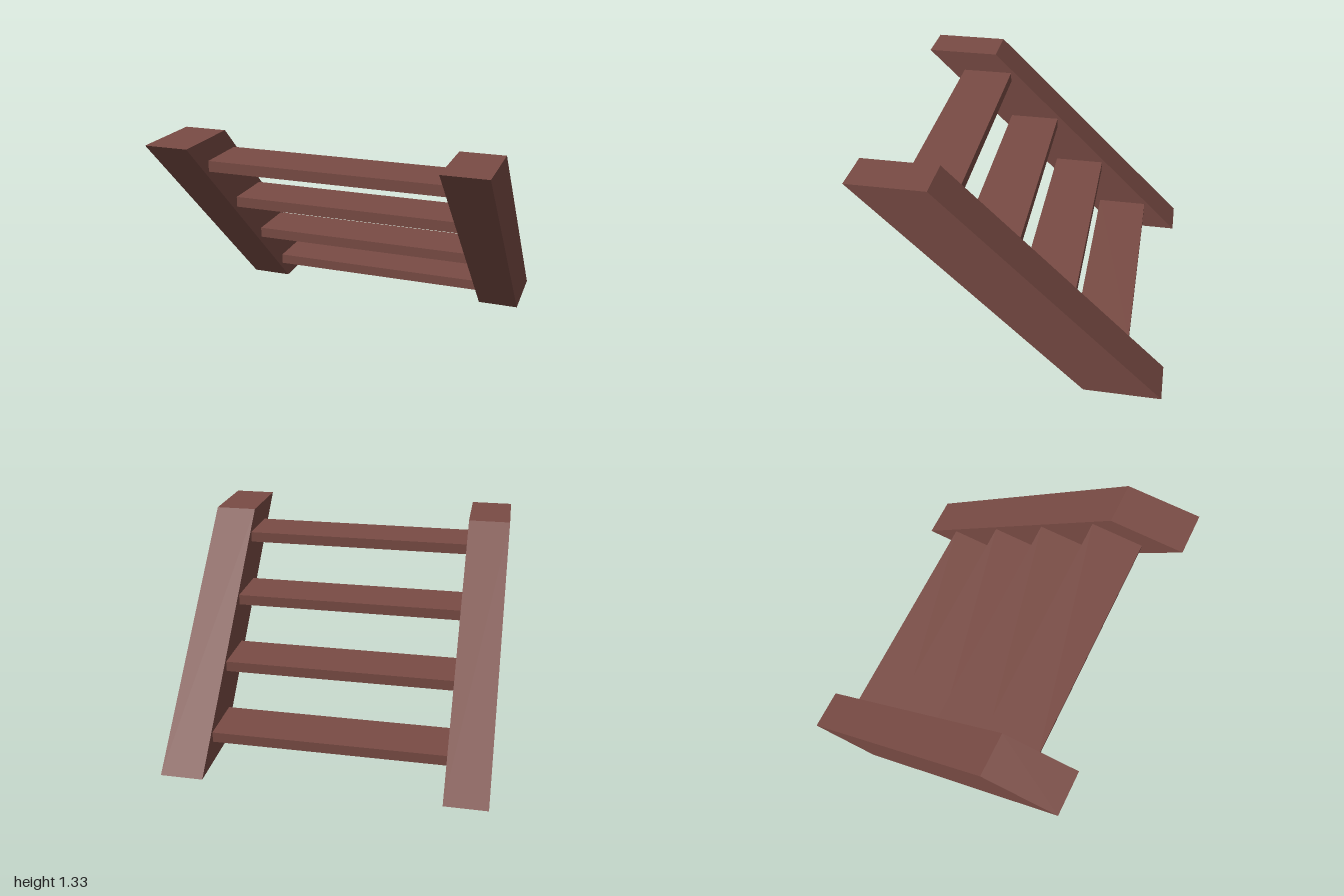
import * as THREE from 'three';

export function createModel() {
  const group = new THREE.Group();
  const wood = new THREE.MeshStandardMaterial({ color: 0x7a4c45 });
  wood.name = 'reddish brown wood';

  const height = 1.333, railWidth = 0.267, inner = 1 - railWidth;

  // Slanted side rail: parallelogram profile (z, y) extruded across x
  const profile = new THREE.Shape([
    new THREE.Vector2(-0.9, 0),
    new THREE.Vector2(-0.433, 0),
    new THREE.Vector2(0.9, height),
    new THREE.Vector2(0.433, height),
  ]);
  const railGeometry = new THREE.ExtrudeGeometry(profile, { depth: railWidth, bevelEnabled: false });
  railGeometry.rotateY(-Math.PI / 2);
  railGeometry.translate(railWidth / 2, 0, 0);
  for (const [name, side] of [['leftRail', 1], ['rightRail', -1]]) {
    const rail = new THREE.Mesh(railGeometry, wood);
    rail.name = name;
    rail.position.x = side * (1 - railWidth / 2);
    group.add(rail);
  }

  // Four level treads climbing toward the front
  const step = 0.3333, thickness = 0.0667;
  const treadGeometry = new THREE.BoxGeometry(inner * 2, thickness, 0.3333);
  for (let i = 0; i < 4; i++) {
    const tread = new THREE.Mesh(treadGeometry, wood);
    tread.name = `tread${i + 1}`;
    tread.position.set(0, 0.1667 + i * step, -0.506 + i * step);
    group.add(tread);
  }
  return group;
}
